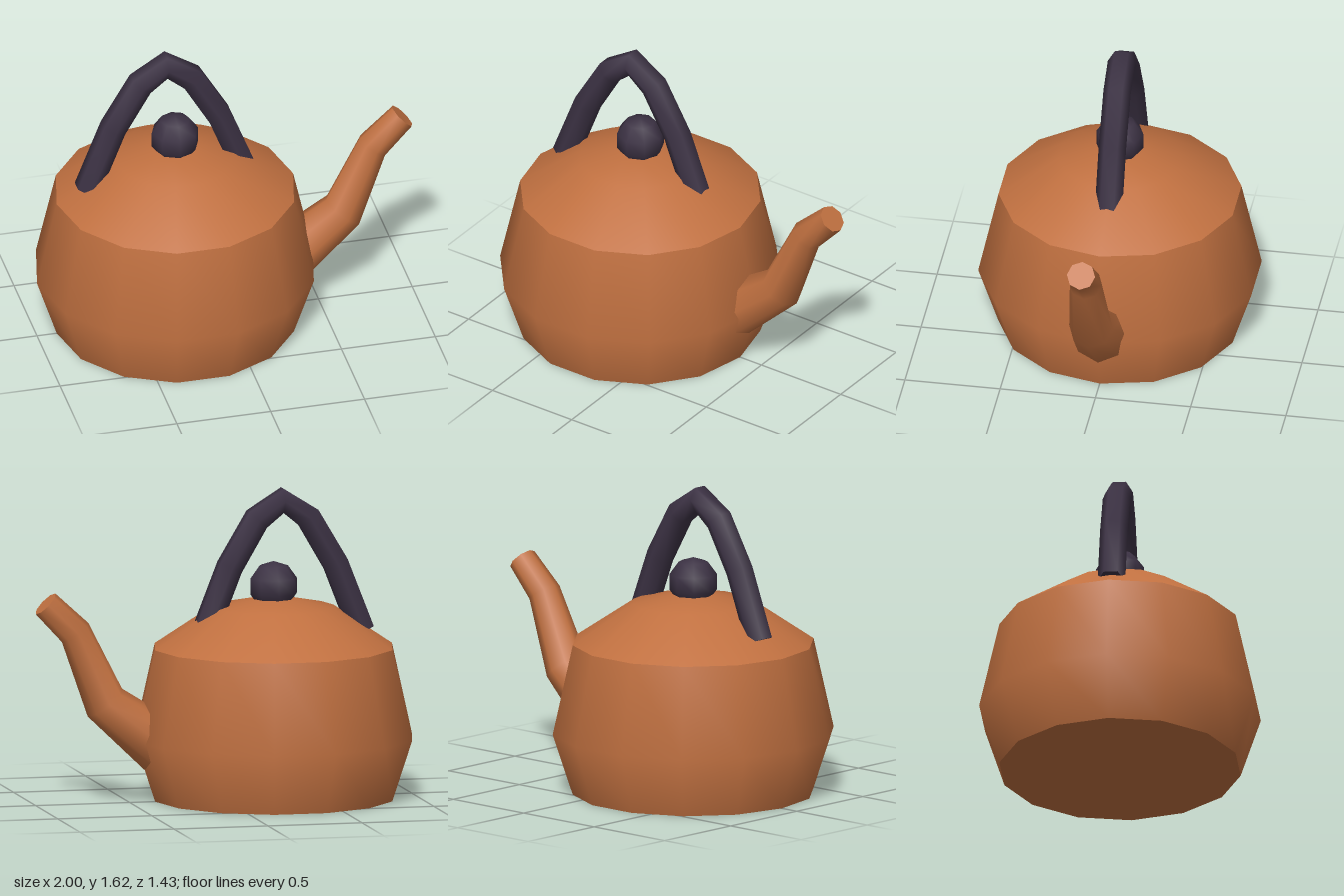
import * as THREE from 'three';

const BODY_X = -0.265;
const SIDES = 14;

// Sweeps a polygon ring along a path of [x, y, radius] in the z = 0 plane, with hard-edged caps
function sweep(path, sides, offset) {
  const pos = [], index = [];
  const dir = (i, j) => new THREE.Vector2(path[j][0] - path[i][0], path[j][1] - path[i][1]).normalize();
  const last = path.length - 1;
  const ring = (i) => {
    const t = new THREE.Vector2();
    if (i > 0) t.add(dir(i - 1, i));
    if (i < last) t.add(dir(i, i + 1));
    t.normalize();
    const start = pos.length / 3;
    const [x, y, r] = path[i];
    for (let j = 0; j < sides; j++) {
      const a = offset + (j / sides) * Math.PI * 2;
      const n = r * Math.cos(a);
      pos.push(x - t.y * n, y + t.x * n, r * Math.sin(a));
    }
    return start;
  };
  // Wall
  const rings = path.map((_, i) => ring(i));
  for (let i = 0; i < last; i++) {
    for (let j = 0; j < sides; j++) {
      const k = (j + 1) % sides;
      const a = rings[i], b = rings[i + 1];
      index.push(a + j, a + k, b + j, a + k, b + k, b + j);
    }
  }
  // End caps
  for (const i of [0, last]) {
    const s = ring(i);
    for (let j = 1; j < sides - 1; j++) {
      if (i === 0) index.push(s, s + j + 1, s + j);
      else index.push(s, s + j, s + j + 1);
    }
  }
  const g = new THREE.BufferGeometry();
  g.setAttribute('position', new THREE.Float32BufferAttribute(pos, 3));
  g.setIndex(index);
  g.computeVertexNormals();
  return g;
}

function lathe(points) {
  return new THREE.LatheGeometry(points.map(([r, y]) => new THREE.Vector2(r, y)), SIDES, Math.PI / 2);
}

export function createModel() {
  const copper = new THREE.MeshStandardMaterial({ color: 0xc07040 });
  copper.name = 'copper';
  const dark = new THREE.MeshStandardMaterial({ color: 0x3c3244 });
  dark.name = 'darkGrip';

  const group = new THREE.Group();
  group.name = 'kettle';
  const add = (name, geometry, material, x = 0, y = 0) => {
    const mesh = new THREE.Mesh(geometry, material);
    mesh.name = name;
    mesh.position.set(x, y, 0);
    group.add(mesh);
  };

  // Body: separate lathes keep the shoulder and base edges sharp
  add('base', lathe([[0, 0], [0.63, 0]]), copper, BODY_X);
  add('bodyWall', lathe([[0.63, 0], [0.735, 0.32], [0.63, 0.79]]), copper, BODY_X);
  add('shoulder', lathe([[0.63, 0.79], [0.318, 1.0], [0.12, 1.04], [0, 1.05]]), copper, BODY_X);

  // Lid knob
  add('knob', new THREE.SphereGeometry(0.13, 8, 5), dark, BODY_X, 1.108);

  // Spout, tapering from inside the body to the tip
  add('spout', sweep([
    [0.3, 0.265, 0.155], [0.632, 0.527, 0.115], [0.79, 0.898, 0.085], [0.947, 1.053, 0.074],
  ], 8, 0), copper);

  // Arched handle, mirrored about its middle
  const half = [[0.419, 0.862], [0.282, 1.213], [0.137, 1.46]];
  const cx = -0.313, r = 0.072;
  add('handle', sweep([
    ...half.map(([x, y]) => [cx - x, y, r]),
    [cx, 1.555, r],
    ...half.slice().reverse().map(([x, y]) => [cx + x, y, r]),
  ], 6, Math.PI / 6), dark);

  return group;
}
